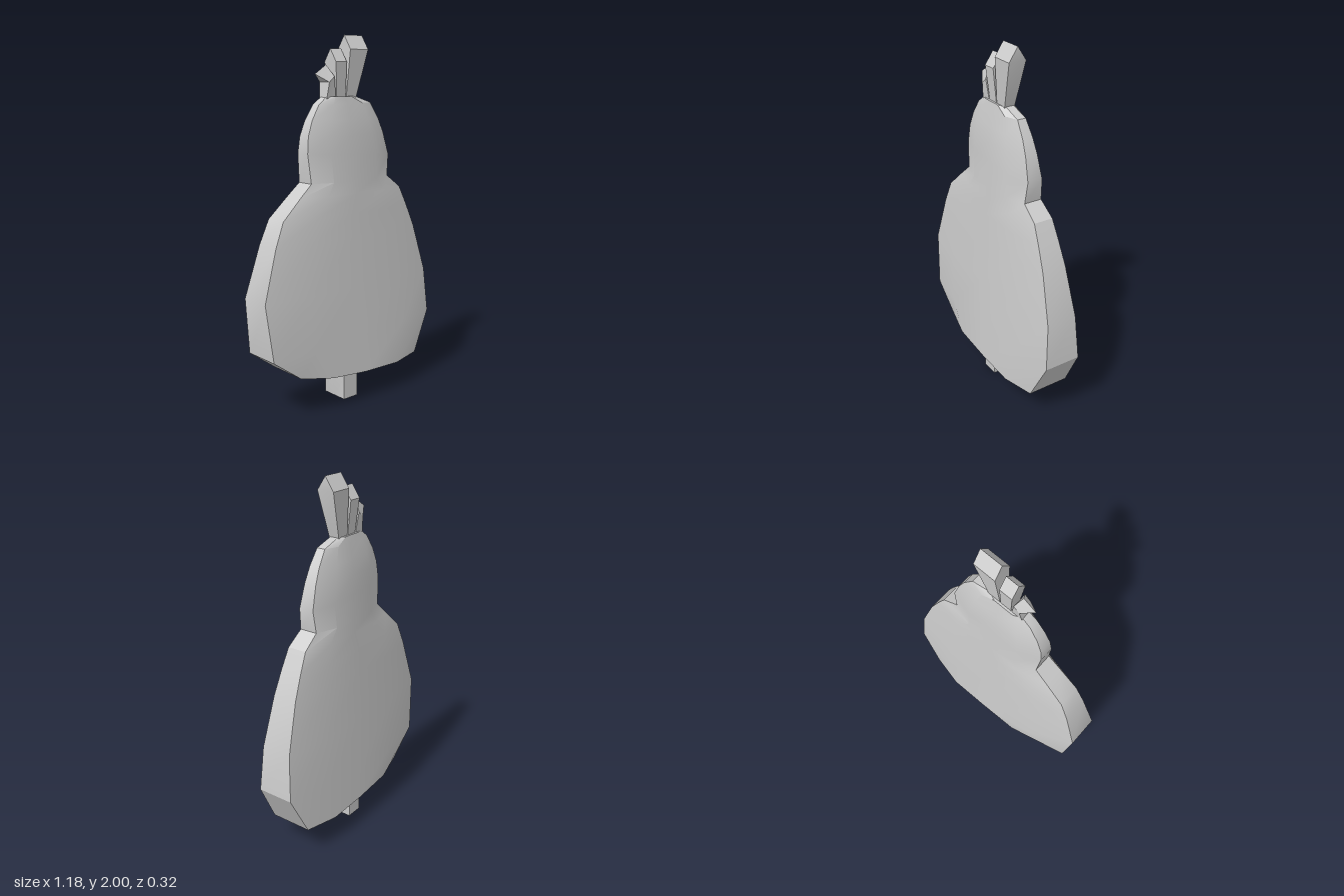
import * as THREE from 'three';
import { toCreasedNormals } from 'three/addons/utils/BufferGeometryUtils.js';

const material = new THREE.MeshStandardMaterial({ color: 0xcccccc });

// Joins rings of points (each counter-clockwise seen from above) from bottom to top.
function loft(name, rings) {
  const n = rings[0].length;
  const index = [];
  for (let r = 0; r < rings.length - 1; r++) {
    for (let i = 0; i < n; i++) {
      const j = (i + 1) % n;
      const a = r * n + i, b = r * n + j;
      index.push(a, b, b + n, a, b + n, a + n);
    }
  }
  const last = (rings.length - 1) * n;
  for (let i = 1; i < n - 1; i++) {
    index.push(0, i + 1, i);
    index.push(last, last + i, last + i + 1);
  }
  const geometry = new THREE.BufferGeometry();
  geometry.setAttribute('position', new THREE.Float32BufferAttribute(rings.flat(2), 3));
  geometry.setIndex(index);
  const mesh = new THREE.Mesh(toCreasedNormals(geometry, 0.45), material);
  mesh.name = name;
  return mesh;
}

// Mirrors a row of front points to the back to close a ring.
const mirrorRing = (front) => [...front, ...front.map(([x, y, z]) => [x, y, -z]).reverse()];

// Body and head: left and right outline points, paired from bottom to top.
const outline = [
  [-0.39, 0.22, 0.47, 0.165],
  [-0.56, 0.345, 0.59, 0.4],
  [-0.595, 0.655, 0.57, 0.655],
  [-0.51, 0.93, 0.49, 0.93],
  [-0.455, 1.06, 0.435, 1.06],
  [-0.34, 1.165, 0.385, 1.165],
  [-0.26, 1.235, 0.29, 1.235],
  [-0.275, 1.39, 0.305, 1.355],
  [-0.265, 1.48, 0.27, 1.48],
  [-0.235, 1.56, 0.235, 1.56],
  [-0.185, 1.64, 0.18, 1.645],
  [-0.13, 1.68, 0.07, 1.68],
];
const across = [0, 0.22, 0.5, 0.78, 1];
const sag = [0, 0.02, 0.028, 0.02, 0];

function createBody() {
  const section = ([xl, yl, xr, yr], drop, flat) => mirrorRing(across.map((t, i) => {
    const x = xl + (xr - xl) * t;
    const y = yl + (yr - yl) * t - sag[i] * drop;
    // The slab thins toward the top and toward its rim.
    const bulge = i === 0 || i === 4 ? 0 : Math.min(0.04, 0.02 + (1.68 - y) * 0.12);
    return [x, y, flat ? 0 : 0.13 - 0.064 * y + bulge];
  }));
  return loft('body', [
    section(outline[0], 2, true), // keel under the body
    ...outline.map((o, i) => section(o, i === 0 ? 1 : 0, false)),
  ]);
}

// Crest feather: base, shoulder and ridge edges, each given as left and right points.
function createFeather(name, base, shoulder, ridge, depth) {
  const ring = (edge, z) => mirrorRing(edge.map(([x, y]) => [x, y, z]));
  return loft(name, [ring(base, 0.03), ring(shoulder, depth), ring(ridge, 0)]);
}

// Stem: straight front and back, flaring at mid-depth where it meets the body.
function createStem() {
  const ring = (y, flare) => [
    [-0.058, y, 0.08], [0.04, y, 0.08], [0.04 + flare, y, 0],
    [0.04, y, -0.08], [-0.058, y, -0.08], [-0.058 - flare, y, 0],
  ];
  return loft('stem', [ring(0, 0), ring(0.135, 0.025), ring(0.18, 0.025)]);
}

export function createModel() {
  const model = new THREE.Group();
  model.name = 'birdFigure';
  model.add(
    createBody(),
    createStem(),
    createFeather('leftFeather',
      [[0, 1.67], [0.07, 1.67]], [[0.012, 1.925], [0.14, 1.925]], [[0.012, 2], [0.14, 2]], 0.05),
    createFeather('middleFeather',
      [[-0.066, 1.67], [-0.004, 1.67]], [[-0.085, 1.86], [-0.01, 1.86]], [[-0.085, 1.928], [-0.01, 1.928]], 0.046),
    createFeather('rightFeather',
      [[-0.135, 1.67], [-0.072, 1.67]], [[-0.125, 1.755], [-0.09, 1.785]], [[-0.19, 1.797], [-0.115, 1.845]], 0.04),
  );
  return model;
}
